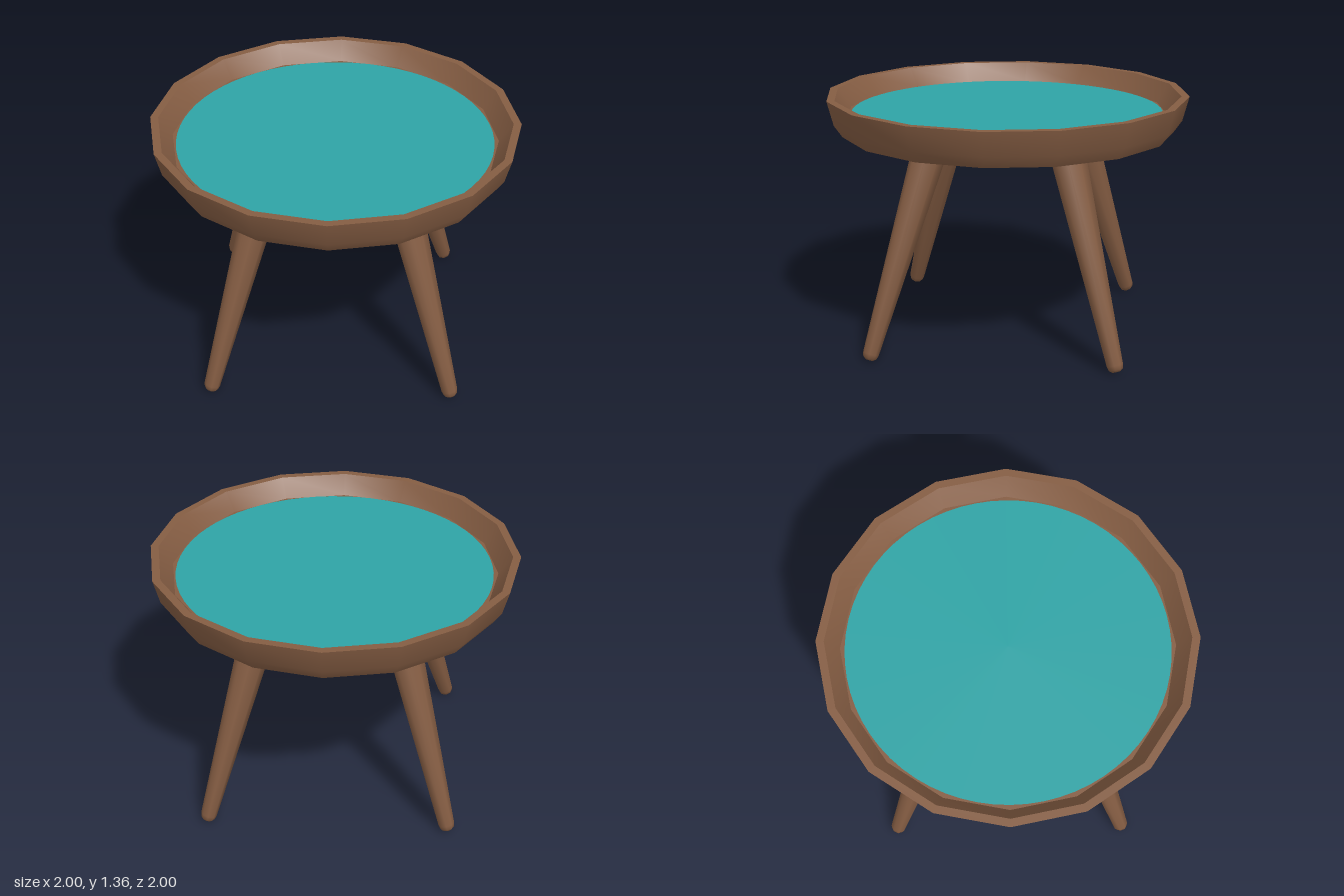
import * as THREE from 'three';
import { toCreasedNormals } from 'three/addons/utils/BufferGeometryUtils.js';

const points = (list) => list.map(([x, y]) => new THREE.Vector2(x, y));

export function createModel() {
  const group = new THREE.Group();
  const wood = new THREE.MeshStandardMaterial({ color: 0x855d43 });
  wood.name = 'brown wood';
  const teal = new THREE.MeshStandardMaterial({ color: 0x2ea3a5 });
  teal.name = 'teal inlay';

  // Sixteen-sided tray top with a flared, raised rim
  const trayProfile = points([
    [0, 1.16], [0.92, 1.16], [0.965, 1.225], [1, 1.36],
    [0.957, 1.36], [0.885, 1.255], [0, 1.255],
  ]);
  const tray = new THREE.Mesh(
    toCreasedNormals(new THREE.LatheGeometry(trayProfile, 16), 0.5), wood);
  tray.name = 'trayTop';
  group.add(tray);

  // Thin round inlay on the tray floor
  const inlay = new THREE.Mesh(new THREE.CircleGeometry(0.86, 64), teal);
  inlay.name = 'tableInlay';
  inlay.rotation.x = -Math.PI / 2;
  inlay.position.y = 1.26;
  group.add(inlay);

  // Four tapered, splayed legs with rounded feet
  const foot = new THREE.Vector3(0.665, 0.009, 0.665);
  const head = new THREE.Vector3(0.345, 1.2, 0.345);
  const length = foot.distanceTo(head);
  const legProfile = points([
    [0, 0], [0.024, 0], [0.038, 0.012], [0.044, 0.035], [0.1, length], [0, length],
  ]);
  const legGeometry = toCreasedNormals(new THREE.LatheGeometry(legProfile, 8), 0.9);
  legGeometry.applyQuaternion(new THREE.Quaternion().setFromUnitVectors(
    new THREE.Vector3(0, 1, 0), head.clone().sub(foot).normalize()));
  legGeometry.translate(foot.x, foot.y, foot.z);
  ['frontLeftLeg', 'backLeftLeg', 'backRightLeg', 'frontRightLeg'].forEach((name, i) => {
    const leg = new THREE.Mesh(legGeometry, wood);
    leg.name = name;
    leg.rotation.y = i * Math.PI / 2;
    group.add(leg);
  });

  return group;
}
